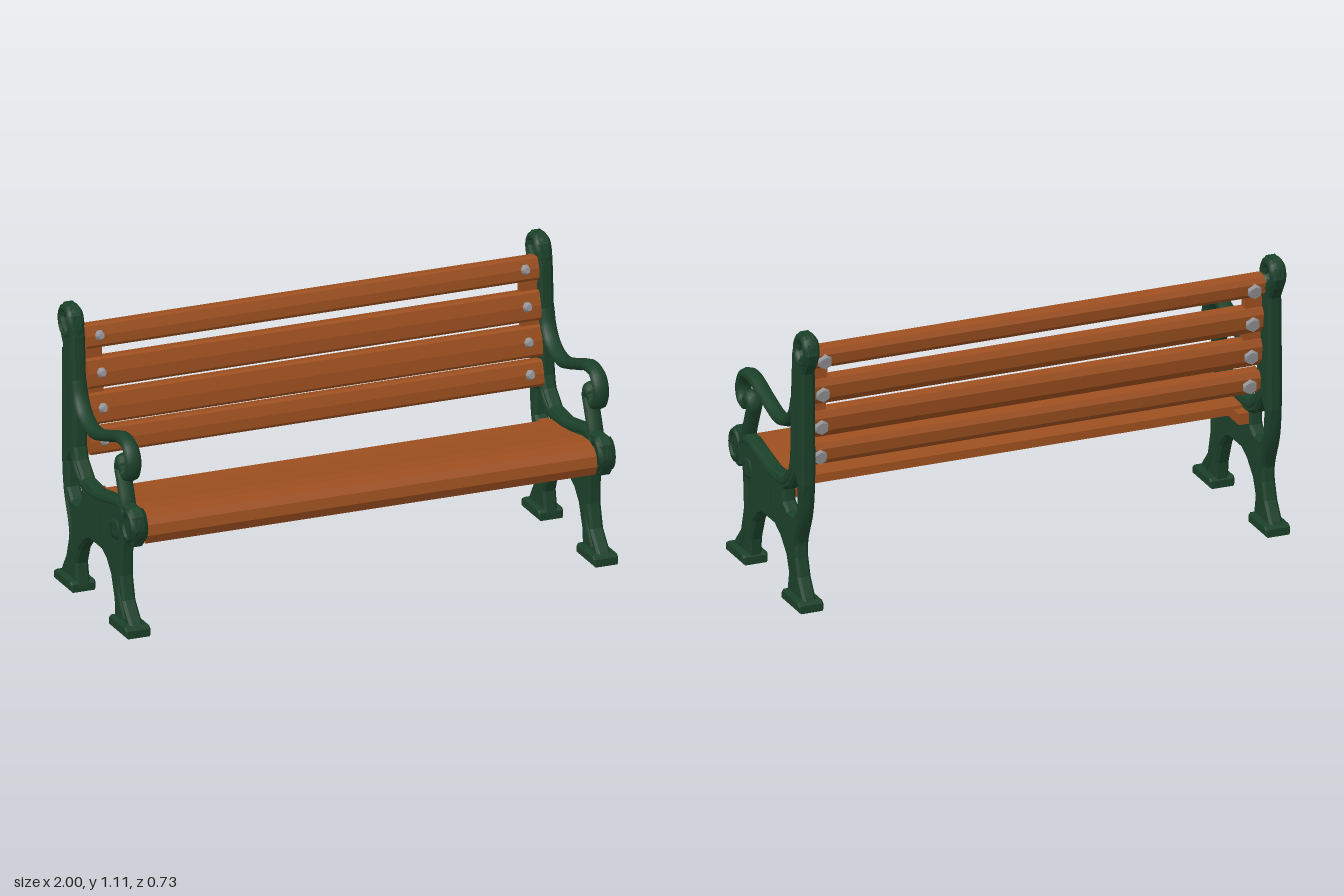
import * as THREE from 'three';

const iron = new THREE.MeshStandardMaterial({ color: 0x1b4029 });
iron.name = 'dark green iron';
const wood = new THREE.MeshStandardMaterial({ color: 0x9c4f1f });
wood.name = 'brown wood';
const steel = new THREE.MeshStandardMaterial({ color: 0x96969a });
steel.name = 'grey steel';

// All outlines are given as [z, y] pairs.
const pts = (list) => list.map(([z, y]) => new THREE.Vector2(z, y));

function add(parent, name, geometry, material) {
  const mesh = new THREE.Mesh(geometry, material);
  mesh.name = name;
  parent.add(mesh);
  return mesh;
}

// Extrude a [z, y] outline along x, centred on x = 0.
function slab(outline, width, bevel = 0, holes = []) {
  const shape = new THREE.Shape(pts(outline));
  holes.forEach((h) => shape.holes.push(new THREE.Path(pts(h))));
  const depth = width - 2 * bevel;
  const g = new THREE.ExtrudeGeometry(shape, {
    depth, bevelEnabled: bevel > 0, bevelThickness: bevel, bevelSize: bevel,
    bevelOffset: -bevel, bevelSegments: 1,
  });
  g.translate(0, 0, -depth / 2);
  g.rotateY(-Math.PI / 2);
  return g;
}

// Round bar along a [z, y] path, widened across x.
function rail(path, radius, halfWidth, closed = false) {
  const curve = new THREE.CatmullRomCurve3(path.map(([z, y]) => new THREE.Vector3(0, y, z)), closed);
  const g = new THREE.TubeGeometry(curve, path.length * 5, radius, 8, closed);
  g.scale(halfWidth / radius, 1, 1);
  return g;
}

// Rounded cap for the open end of a rail.
function cap(parent, name, [z, y], radius, halfWidth) {
  const m = add(parent, name, new THREE.SphereGeometry(radius, 10, 8), iron);
  m.scale.x = halfWidth / radius;
  m.position.set(0, y, z);
}

function sideFrame() {
  const frame = new THREE.Group();

  // Cast plate: legs, seat bracket and back post in one outline
  const outline = [
    [0.345, 0.02], [0.18, 0.02], [0.172, 0.1], [0.14, 0.185], [0.1, 0.23], [0.06, 0.25],
    [-0.06, 0.25], [-0.11, 0.225], [-0.165, 0.17], [-0.188, 0.11], [-0.172, 0.02],
    [-0.345, 0.02], [-0.33, 0.05], [-0.285, 0.12], [-0.263, 0.19], [-0.255, 0.25],
    [-0.285, 0.32], [-0.305, 0.4], [-0.322, 0.5], [-0.322, 0.95], [-0.352, 1.0],
    [-0.366, 1.04], [-0.355, 1.08], [-0.325, 1.11], [-0.275, 1.11], [-0.24, 1.08],
    [-0.222, 1.0], [-0.213, 0.85], [-0.203, 0.7], [-0.198, 0.57], [-0.18, 0.525],
    [-0.125, 0.475], [-0.01, 0.468], [0.1, 0.49], [0.21, 0.51], [0.32, 0.51],
    [0.356, 0.485], [0.366, 0.43], [0.34, 0.362], [0.295, 0.352], [0.248, 0.37],
    [0.24, 0.28], [0.238, 0.21], [0.262, 0.12], [0.325, 0.05],
  ];
  const opening = [
    [-0.14, 0.42], [-0.19, 0.445], [-0.25, 0.52], [-0.27, 0.49], [-0.265, 0.39],
    [-0.23, 0.352], [-0.18, 0.35], [-0.145, 0.375],
  ];
  const eyelet = [
    [-0.265, 1.02], [-0.272, 1.055], [-0.295, 1.074], [-0.32, 1.07],
    [-0.325, 1.05], [-0.312, 1.025], [-0.285, 1.01],
  ];
  add(frame, 'castPlate', slab(outline, 0.054, 0.01, [opening, eyelet]), iron);

  // Raised rims on both faces of the plate
  add(frame, 'seatAndPostRim', rail([
    [0.27, 0.43], [0.255, 0.475], [0.2, 0.488], [0.1, 0.468], [-0.01, 0.446], [-0.13, 0.452],
    [-0.2, 0.505], [-0.222, 0.58], [-0.228, 0.75], [-0.236, 0.9], [-0.245, 1.03],
  ], 0.022, 0.034), iron);
  add(frame, 'postBackRim', rail([
    [-0.225, 0.15], [-0.24, 0.25], [-0.285, 0.37], [-0.302, 0.5], [-0.302, 0.75], [-0.302, 0.94],
  ], 0.019, 0.034), iron);
  add(frame, 'topLoop', rail([
    [-0.25, 1.03], [-0.265, 1.08], [-0.3, 1.092], [-0.335, 1.08], [-0.345, 1.04],
    [-0.325, 0.998], [-0.285, 0.99],
  ], 0.019, 0.034, true), iron);
  add(frame, 'frontLegRim', rail([
    [0.27, 0.05], [0.215, 0.14], [0.2, 0.22], [0.21, 0.32],
  ], 0.03, 0.034), iron);

  // Armrest with its scrolled front and support
  add(frame, 'armrest', rail([
    [-0.225, 0.83], [-0.205, 0.765], [-0.16, 0.71], [-0.06, 0.678], [0.07, 0.71],
    [0.19, 0.747], [0.265, 0.735], [0.297, 0.68], [0.28, 0.628], [0.243, 0.62],
    [0.232, 0.652],
  ], 0.023, 0.033), iron);
  add(frame, 'armSupport', rail([
    [0.232, 0.652], [0.205, 0.666], [0.19, 0.64], [0.21, 0.585], [0.24, 0.51], [0.25, 0.47],
  ], 0.024, 0.033), iron);
  cap(frame, 'scrollTip', [0.21, 0.655], 0.036, 0.038);

  // Front knuckle and bolt boss
  const knuckle = add(frame, 'frontKnuckle', new THREE.TorusGeometry(0.042, 0.015, 6, 12), iron);
  knuckle.scale.set(1, 1.3, 2.6);
  knuckle.rotation.y = Math.PI / 2;
  knuckle.position.set(0, 0.435, 0.31);
  const boss = add(frame, 'boltBoss', new THREE.TorusGeometry(0.038, 0.012, 5, 6), iron);
  boss.scale.z = 2.9;
  boss.rotation.y = Math.PI / 2;
  boss.position.set(0, 0.385, 0.19);
  for (const z of [0.035, -0.02]) {
    add(frame, 'plateRib', new THREE.BoxGeometry(0.06, 0.09, 0.014), iron).position.set(0, 0.35, z);
  }

  // Feet
  for (const s of [1, -1]) {
    const foot = [[0.35, 0], [0.35, 0.03], [0.33, 0.042], [0.185, 0.042], [0.175, 0.03], [0.175, 0]]
      .map(([z, y]) => [z * s, y]);
    add(frame, s > 0 ? 'frontFoot' : 'backFoot', slab(foot, 0.1, 0.006), iron);
  }
  return frame;
}

// Back slat: deep board with a rounded back, fixed by a bolt at each end
function backSlat(height) {
  const slat = new THREE.Group();
  const h = height / 2;
  add(slat, 'board', slab([
    [0.016, -h + 0.01], [0.02, 0], [0.012, h - 0.008], [0, h], [-0.04, h], [-0.056, h * 0.6],
    [-0.058, -h * 0.3], [-0.035, -h * 0.9], [-0.01, -h], [0.008, -h],
  ], 1.84), wood);
  for (const x of [-0.865, 0.865]) {
    const head = add(slat, 'boltHead', new THREE.CylinderGeometry(0.012, 0.022, 0.022, 7), steel);
    head.rotation.x = Math.PI / 2;
    head.position.set(x, 0, 0.026);
    const nut = add(slat, 'boltNut', new THREE.CylinderGeometry(0.032, 0.026, 0.018, 6), steel);
    nut.rotation.x = Math.PI / 2;
    nut.position.set(x + Math.sign(x) * 0.01, 0, -0.062);
  }
  return slat;
}

export function createModel() {
  const bench = new THREE.Group();
  bench.name = 'bench';

  for (const s of [1, -1]) {
    const frame = sideFrame();
    frame.name = s > 0 ? 'leftSideFrame' : 'rightSideFrame';
    frame.position.x = 0.95 * s;
    bench.add(frame);

    // Wooden packing between the slat ends and under the seat ends
    for (const [y, z] of [[0.78, -0.235], [0.925, -0.25]]) {
      add(bench, 'slatPacking', new THREE.BoxGeometry(0.07, 0.06, 0.03), wood).position.set(0.885 * s, y, z);
    }
    add(bench, 'seatCleat', new THREE.BoxGeometry(0.04, 0.045, 0.32), wood).position.set(0.9 * s, 0.403, 0.02);
  }

  // Backrest: [centre y, centre z, height, backward tilt]
  [[0.588, -0.194, 0.1, 0.16], [0.713, -0.208, 0.12, 0.16],
    [0.85, -0.222, 0.115, 0.16], [0.992, -0.24, 0.092, 0.2]].forEach(([y, z, h, tilt], i) => {
    const slat = backSlat(h);
    slat.name = 'backSlat' + (i + 1);
    slat.position.set(0, y, z);
    slat.rotation.x = -tilt;
    bench.add(slat);
  });

  // Seat: dished board with a rolled front edge
  add(bench, 'seatBoard', slab([
    [0.345, 0.4], [0.338, 0.44], [0.315, 0.465], [0.27, 0.478], [0.2, 0.475], [0.1, 0.455],
    [0, 0.442], [-0.09, 0.438], [-0.092, 0.405], [0, 0.405], [0.1, 0.415], [0.2, 0.432],
    [0.265, 0.43], [0.29, 0.4], [0.305, 0.365], [0.33, 0.365],
  ], 1.83), wood);
  return bench;
}
